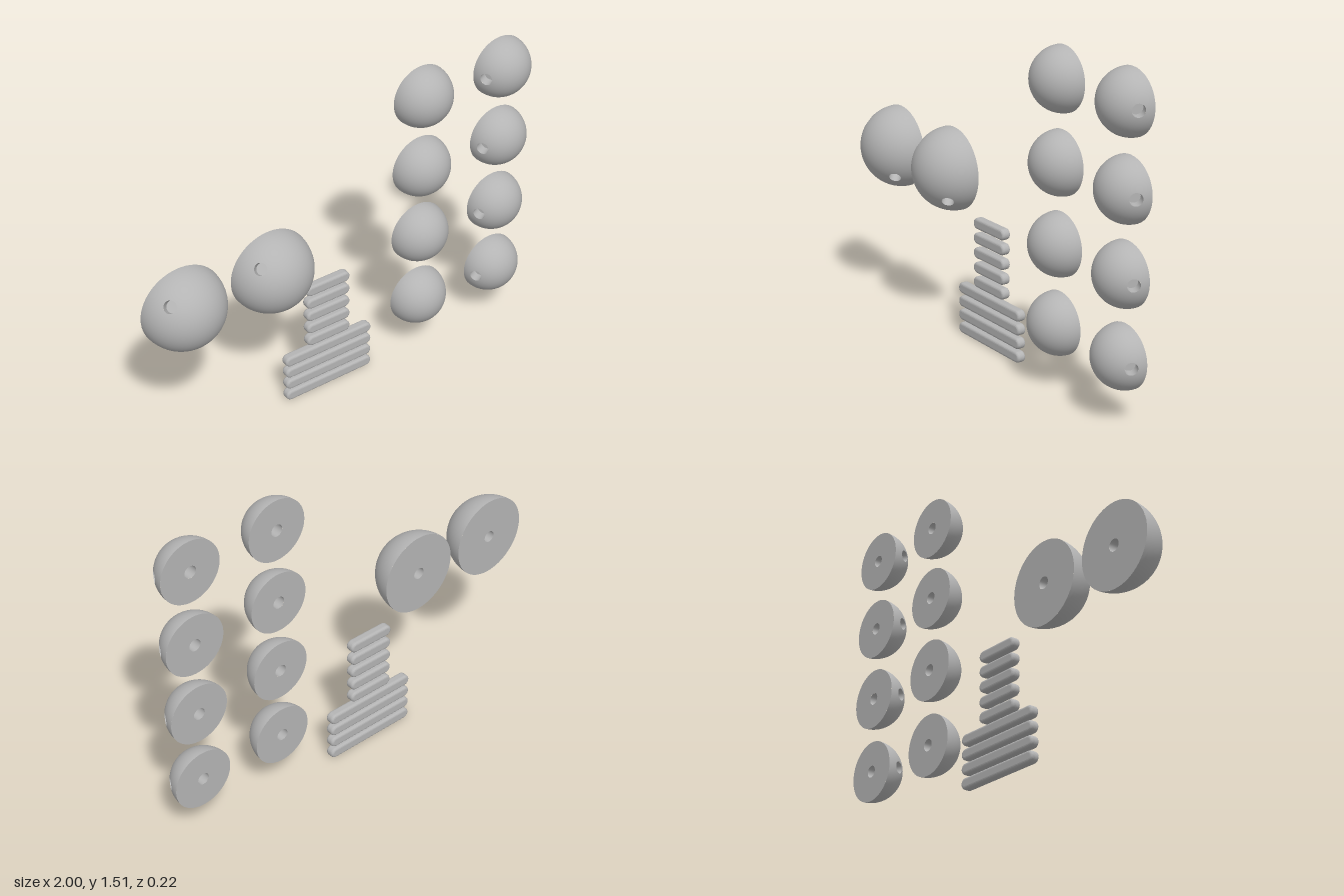
import * as THREE from 'three';
import { mergeGeometries } from 'three/addons/utils/BufferGeometryUtils.js';

const BACK_Z = -0.086;
const HOLE_R = 0.028;
const HOLE_DEPTH = 0.05;

// Quarter sphere (x > 0, z > 0) with a round opening, lofted along great
// circles from the rim of the opening to the patch edges.
function piercedQuarter(R, tilt) {
  const d = new THREE.Vector3(Math.cos(tilt), 0, Math.sin(tilt));
  const u = new THREE.Vector3(0, 1, 0);
  const v = new THREE.Vector3().crossVectors(d, u);
  const rim = Math.asin(HOLE_R / R);
  const rings = 16, segs = 64;
  const positions = [], normals = [], uvs = [], index = [];
  for (let j = 0; j <= segs; j++) {
    const t = (j / segs) * Math.PI * 2;
    const e = u.clone().multiplyScalar(Math.cos(t)).addScaledVector(v, Math.sin(t));
    const edge = Math.min(Math.atan2(d.x, -e.x), Math.atan2(d.z, -e.z));
    for (let i = 0; i <= rings; i++) {
      const a = rim + (edge - rim) * (i / rings);
      const n = d.clone().multiplyScalar(Math.cos(a)).addScaledVector(e, Math.sin(a));
      normals.push(n.x, n.y, n.z);
      positions.push(n.x * R, n.y * R, n.z * R);
      uvs.push(i / rings, j / segs);
      if (i < rings && j < segs) {
        const p = j * (rings + 1) + i, q = p + rings + 1;
        index.push(p, p + 1, q + 1, p, q + 1, q);
      }
    }
  }
  const g = new THREE.BufferGeometry();
  g.setAttribute('position', new THREE.Float32BufferAttribute(positions, 3));
  g.setAttribute('normal', new THREE.Float32BufferAttribute(normals, 3));
  g.setAttribute('uv', new THREE.Float32BufferAttribute(uvs, 2));
  g.setIndex(index);
  return g;
}

// Blind hole opening toward +y at y = 0
function pocket() {
  const wall = new THREE.LatheGeometry(
    [new THREE.Vector2(HOLE_R, 0), new THREE.Vector2(HOLE_R, -HOLE_DEPTH)], 32);
  const floor = new THREE.CircleGeometry(HOLE_R, 32).rotateX(-Math.PI / 2).translate(0, -HOLE_DEPTH, 0);
  return mergeGeometries([wall, floor]);
}

// Half ball with its flat side toward -z
function halfBall(R, tilt, material) {
  const group = new THREE.Group();
  const add = (name, geometry) => {
    const mesh = new THREE.Mesh(geometry, material);
    mesh.name = name;
    group.add(mesh);
  };
  add('flatBack', new THREE.RingGeometry(HOLE_R, R, 64).rotateY(Math.PI));
  add('backHole', pocket().rotateX(-Math.PI / 2));
  if (tilt === null) {
    add('dome', new THREE.SphereGeometry(R, 64, 20, 0, Math.PI * 2, 0, Math.PI / 2).rotateX(Math.PI / 2));
    return group;
  }
  const rimDistance = Math.sqrt(R * R - HOLE_R * HOLE_R);
  for (const turn of [0, Math.PI]) {
    add('domeHalf', piercedQuarter(R, tilt).rotateZ(turn));
    add('sideHole', pocket().translate(0, rimDistance, 0)
      .rotateZ(-Math.PI / 2).rotateY(-tilt).rotateZ(turn));
  }
  return group;
}

// Round-ended bar with softened edges
function barGeometry(length, height, depth) {
  const bevel = 0.012;
  const r = height / 2 - bevel;
  const x = length / 2 - height / 2;
  const s = new THREE.Shape();
  s.moveTo(-x, -r);
  s.lineTo(x, -r);
  s.absarc(x, 0, r, -Math.PI / 2, Math.PI / 2, false);
  s.lineTo(-x, r);
  s.absarc(-x, 0, r, Math.PI / 2, Math.PI * 1.5, false);
  const core = depth - 2 * bevel;
  return new THREE.ExtrudeGeometry(s, {
    depth: core, bevelEnabled: true, bevelThickness: bevel, bevelSize: bevel,
    bevelSegments: 4, curveSegments: 12,
  }).translate(0, 0, -core / 2);
}

export function createModel() {
  const model = new THREE.Group();
  model.name = 'partsLayout';
  const grey = new THREE.MeshStandardMaterial({ color: 0xb4b4b4 });
  grey.name = 'grey';

  // Large half balls with diagonal holes
  for (const x of [-0.806, -0.369]) {
    const ball = halfBall(0.194, 0.61, grey);
    ball.name = 'largeHalfBall';
    ball.position.set(x, 0.778, BACK_Z);
    ball.rotation.z = -Math.PI / 4;
    model.add(ball);
  }

  // Small half balls: a plain column and a column with side holes
  for (let row = 0; row < 4; row++) {
    for (const [x, tilt, name] of [[0.425, null, 'plainHalfBall'], [0.856, 0.49, 'piercedHalfBall']]) {
      const ball = halfBall(0.143, tilt, grey);
      ball.name = name;
      ball.position.set(x, 0.29 + row * 0.358, BACK_Z);
      model.add(ball);
    }
  }

  // Pegs: four long below, five short above
  const addBars = (name, count, length, y0, step) => {
    const geometry = barGeometry(length, 0.052, 0.044);
    for (let i = 0; i < count; i++) {
      const bar = new THREE.Mesh(geometry, grey);
      bar.name = name;
      bar.position.set(-0.075, y0 + i * step, BACK_Z);
      model.add(bar);
    }
  };
  addBars('longPeg', 4, 0.467, 0.027, 0.0655);
  addBars('shortPeg', 5, 0.231, 0.29, 0.07);

  return model;
}
